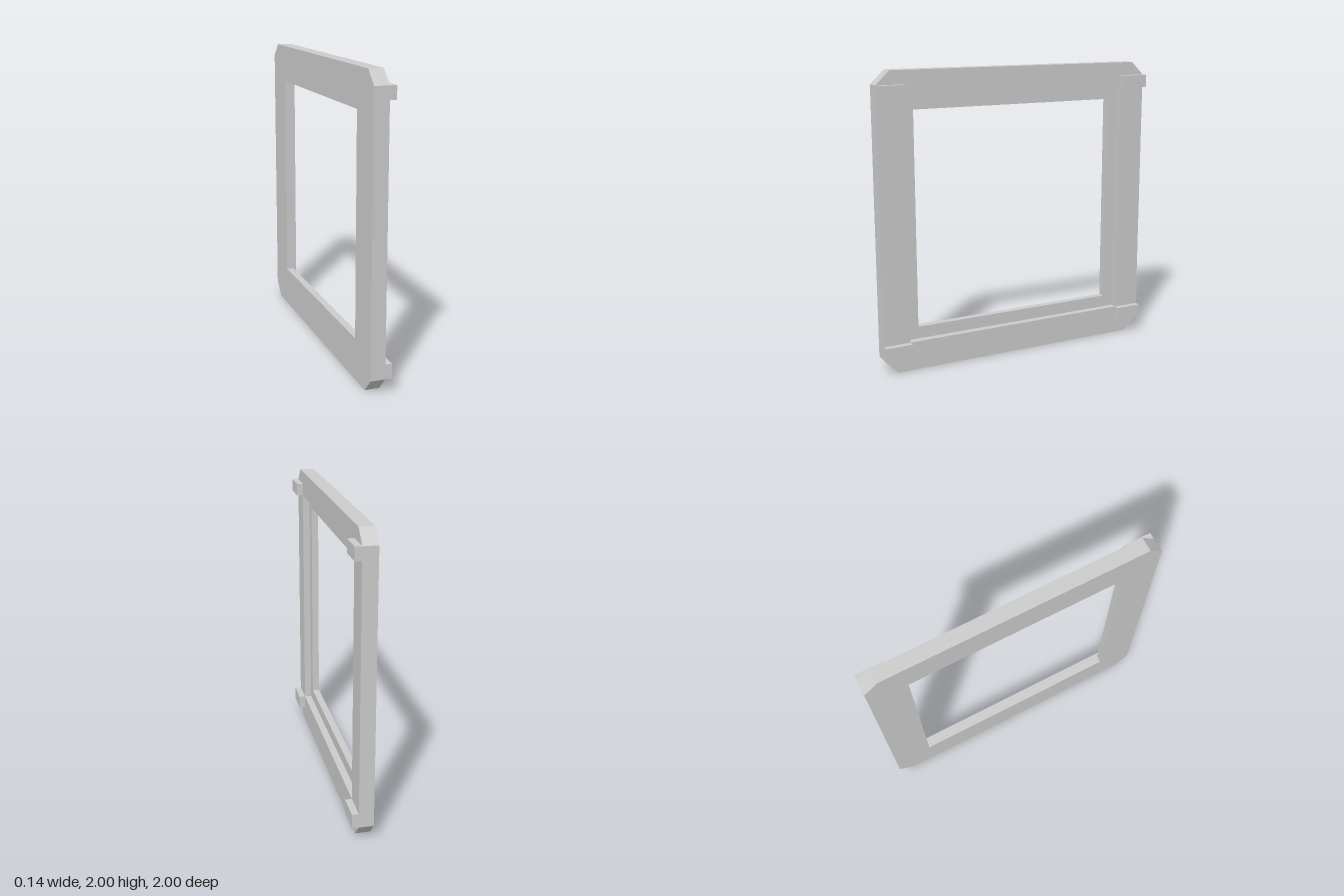
import * as THREE from 'three';

const BACK = -0.072, STEP = -0.023, FACE = 0.026, TAB = 0.07; // depths along x

export function createModel() {
  const group = new THREE.Group();
  const material = new THREE.MeshStandardMaterial({ color: 0xcccccc, flatShading: true });

  function add(name, geometry) {
    const mesh = new THREE.Mesh(geometry, material);
    mesh.name = name;
    group.add(mesh);
    return mesh;
  }

  // Chamfered square plate with a rectangular opening, extruded along x
  function framePlate(name, halfWidth, bottom, top, x0, x1) {
    const c = 0.906;
    const shape = new THREE.Shape([
      [-c, 0], [c, 0], [1, 0.1], [1, 1.91], [c, 2], [-c, 2], [-1, 1.91], [-1, 0.1],
    ].map(([x, y]) => new THREE.Vector2(x, y)));
    shape.holes.push(new THREE.Path([
      [-halfWidth, bottom], [-halfWidth, top], [halfWidth, top], [halfWidth, bottom],
    ].map(([x, y]) => new THREE.Vector2(x, y))));
    const geometry = new THREE.ExtrudeGeometry(shape, { depth: x1 - x0, bevelEnabled: false });
    geometry.rotateY(Math.PI / 2).translate(x0, 0, 0);
    add(name, geometry);
  }

  // Back plate forms the inner lip; front plate has the wider rebate opening
  framePlate('innerLipFrame', 0.735, 0.28, 1.743, BACK, STEP);
  framePlate('rebateFrame', 0.812, 0.197, 1.825, STEP, FACE);

  // Small corner tabs standing proud of the frame face
  for (const side of [-1, 1]) {
    for (const [label, y0, y1] of [['lower', 0.1, 0.197], ['upper', 1.825, 1.91]]) {
      const tab = add(`${label}${side > 0 ? 'Front' : 'Back'}Tab`,
        new THREE.BoxGeometry(TAB - FACE, y1 - y0, 0.188));
      tab.position.set((FACE + TAB) / 2, (y0 + y1) / 2, side * 0.906);
    }
  }
  return group;
}
